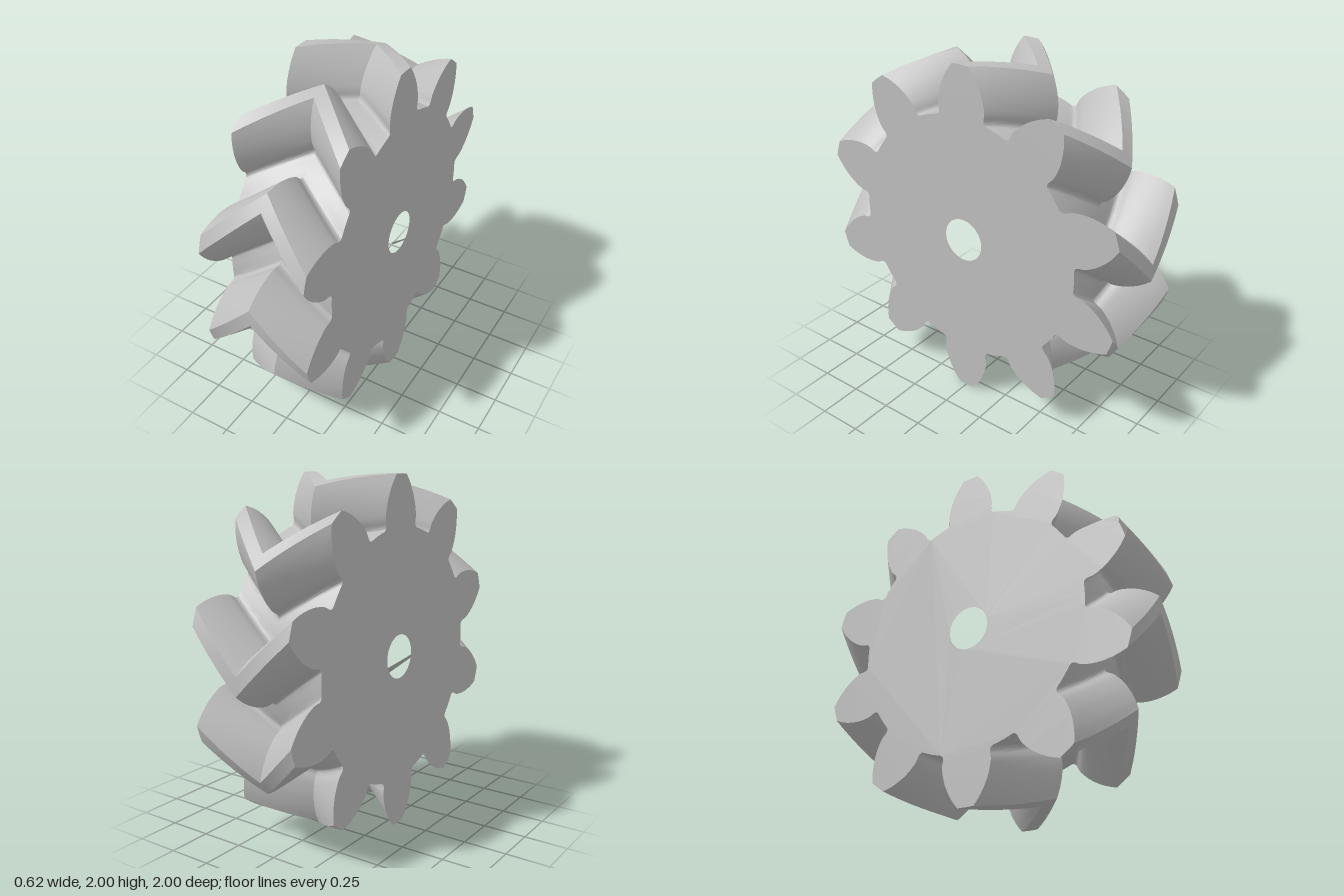
import * as THREE from 'three';
import { toCreasedNormals } from 'three/addons/utils/BufferGeometryUtils.js';

const TEETH = 10;
const HALF_WIDTH = 0.31;
const TWIST = THREE.MathUtils.degToRad(17.8);
const ROOT = 0.722;
const BORE = 0.125;

const V = (x, y) => new THREE.Vector2(x, y);
const polar = (r, deg) => V(r * Math.sin(deg * Math.PI / 180), r * Math.cos(deg * Math.PI / 180));

// Half a tooth pointing up: tip corner, bulging flank, root fillet, half the gap floor
function halfTooth() {
  const flank = new THREE.SplineCurve([
    polar(1, 2.85), V(0.085, 0.955), V(0.117, 0.9), V(0.139, 0.845),
    V(0.151, 0.79), V(0.152, 0.76), V(0.147, 0.733),
  ]).getPoints(14);
  const fillet = new THREE.QuadraticBezierCurve(
    V(0.147, 0.733), V(0.146, 0.707), polar(ROOT, 13.5)).getPoints(6).slice(1);
  return [...flank, ...fillet, polar(ROOT, 15.7)];
}

function gearShape() {
  const right = halfTooth();
  const left = right.map(p => V(-p.x, p.y)).reverse();
  const tooth = [...left, V(0, 1), ...right, polar(ROOT, 18)];
  const outline = [];
  for (let i = 0; i < TEETH; i++) {
    const a = -i * 2 * Math.PI / TEETH;
    tooth.forEach(p => outline.push(p.clone().rotateAround(V(0, 0), a)));
  }
  const shape = new THREE.Shape(outline);
  shape.holes.push(new THREE.Path().absarc(0, 0, BORE, 0, Math.PI * 2, true));
  return shape;
}

export function createModel() {
  const group = new THREE.Group();
  group.name = 'herringboneGear';
  const steel = new THREE.MeshStandardMaterial({ color: 0xbfbfbf });
  steel.name = 'grey steel';

  const geometry = new THREE.ExtrudeGeometry(gearShape(), {
    depth: HALF_WIDTH * 2, steps: 16, curveSegments: 24, bevelEnabled: false,
  });
  geometry.translate(0, 0, -HALF_WIDTH);

  // Twist each section towards the middle, so the teeth form chevrons
  const pos = geometry.attributes.position;
  for (let i = 0; i < pos.count; i++) {
    const a = -TWIST * (1 - Math.abs(pos.getZ(i)) / HALF_WIDTH);
    const p = V(pos.getX(i), pos.getY(i)).rotateAround(V(0, 0), a);
    pos.setXY(i, p.x, p.y);
  }
  geometry.rotateY(Math.PI / 2);

  const gear = new THREE.Mesh(toCreasedNormals(geometry, 0.55), steel);
  gear.name = 'gearBody';
  gear.position.y = 1;
  group.add(gear);
  return group;
}
